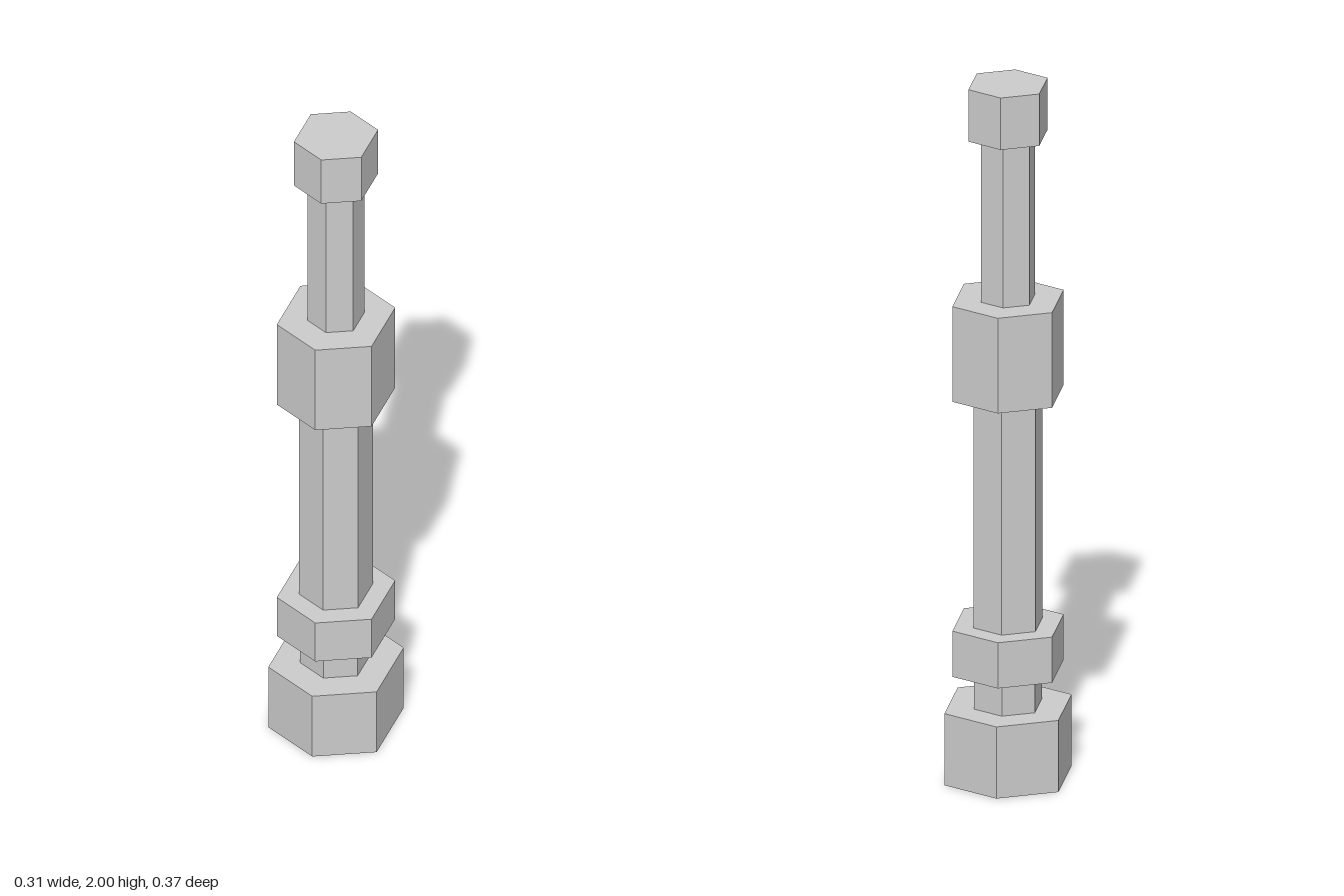
import * as THREE from 'three';

const material = new THREE.MeshStandardMaterial({ color: 0xcccccc, flatShading: true });

// Hexagonal prism with a ridge facing front and back and slightly wider side faces
function hexPrism(name, radius, bottom, top) {
  const w = 0.853 * radius, d = 0.568 * radius;
  const shape = new THREE.Shape([
    [0, radius], [-w, d], [-w, -d], [0, -radius], [w, -d], [w, d],
  ].map(([x, y]) => new THREE.Vector2(x, y)));
  const geometry = new THREE.ExtrudeGeometry(shape, { depth: top - bottom, bevelEnabled: false });
  geometry.rotateX(-Math.PI / 2);
  const mesh = new THREE.Mesh(geometry, material);
  mesh.name = name;
  mesh.position.y = bottom;
  return mesh;
}

export function createModel() {
  const group = new THREE.Group();
  group.name = 'hexagonalHandle';
  // name, corner radius, bottom, top
  const parts = [
    ['pommel', 0.184, 0, 0.207],
    ['neck', 0.098, 0.207, 0.31],
    ['lowerRing', 0.161, 0.31, 0.442],
    ['grip', 0.1, 0.442, 1.105],
    ['collar', 0.161, 1.105, 1.38],
    ['upperShaft', 0.078, 1.38, 1.85],
    ['cap', 0.1145, 1.85, 2],
  ];
  for (const part of parts) group.add(hexPrism(...part));
  return group;
}
